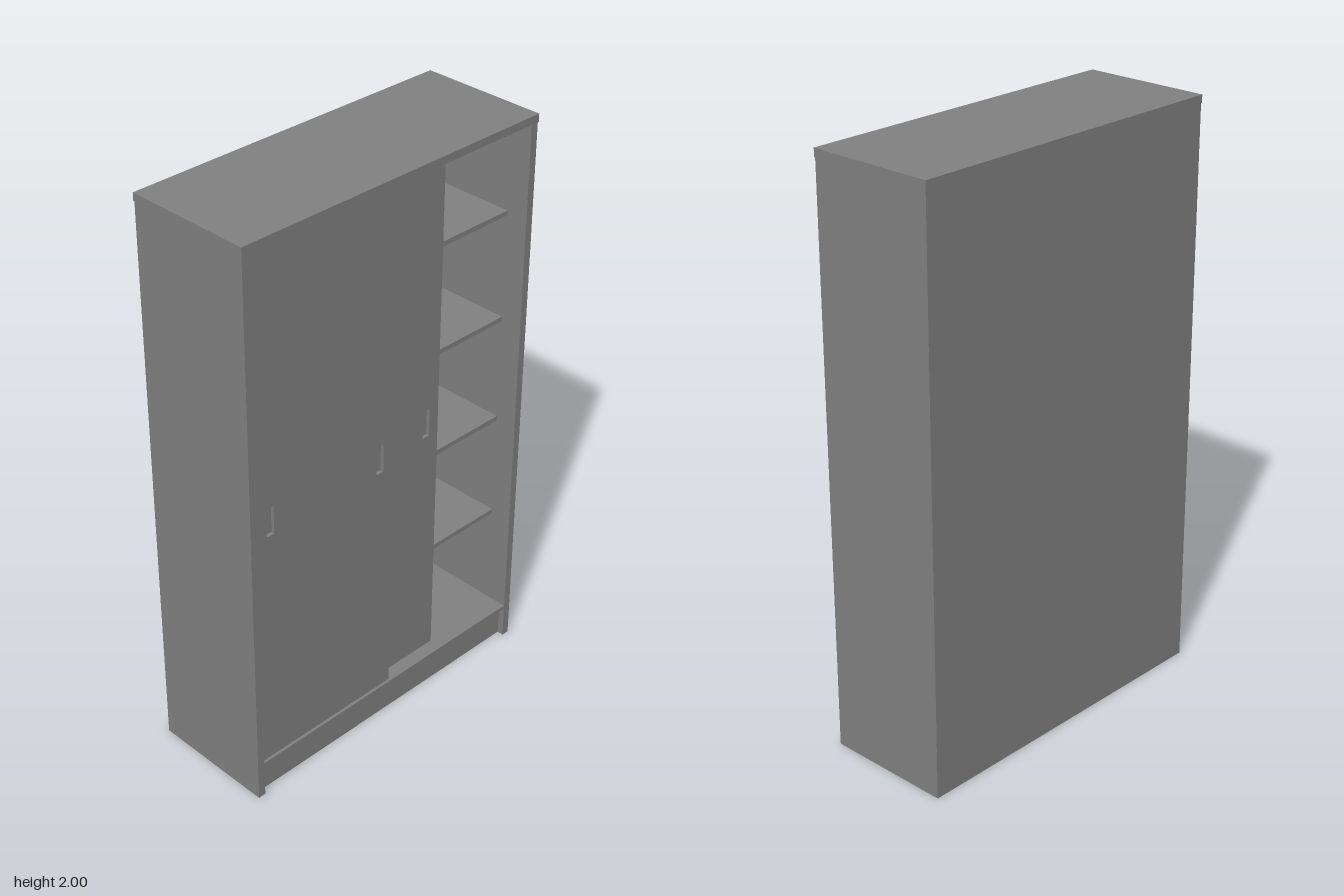
import * as THREE from 'three';

const material = new THREE.MeshStandardMaterial({ color: 0x808080, flatShading: true });

// Box given by its min and max along each axis
function panel(name, [x0, x1], [y0, y1], [z0, z1]) {
  const geometry = new THREE.BoxGeometry(x1 - x0, y1 - y0, z1 - z0);
  geometry.translate((x0 + x1) / 2, (y0 + y1) / 2, (z0 + z1) / 2);
  const mesh = new THREE.Mesh(geometry, material);
  mesh.name = name;
  return mesh;
}

function rectangle(path, x0, x1, y0, y1) {
  path.moveTo(x0, y0);
  path.lineTo(x1, y0);
  path.lineTo(x1, y1);
  path.lineTo(x0, y1);
  path.closePath();
  return path;
}

// Outer size of the top, the slightly smaller carcass below it, and its inside
const TOP_X = 0.225, TOP_Z = 0.6, TOP_Y = 1.973;
const SIDE_X = 0.223, SIDE_Z = 0.598, INNER = 0.571;

// Sliding door: a face sheet pierced by two finger pulls, backed by a solid sheet
function slidingDoor(name, frontX, zCentre) {
  const door = new THREE.Group();
  door.name = name;
  const half = 0.2835, y0 = 0.135, y1 = 1.97, recess = 0.012, thickness = 0.024;

  const shape = rectangle(new THREE.Shape(), -half, half, y0, y1);
  for (const side of [-1, 1]) {
    const c = side * (half - 0.054);
    shape.holes.push(rectangle(new THREE.Path(), c - 0.015, c + 0.015, 1.0, 1.102));
  }
  const geometry = new THREE.ExtrudeGeometry(shape, { depth: recess, bevelEnabled: false });
  geometry.rotateY(Math.PI / 2);
  geometry.translate(frontX - recess, 0, 0);
  const face = new THREE.Mesh(geometry, material);
  face.name = 'doorFaceWithPulls';

  door.add(face, panel('doorBacking', [frontX - thickness, frontX - recess], [y0, y1], [-half, half]));
  door.position.z = zCentre;
  return door;
}

export function createModel() {
  const cabinet = new THREE.Group();
  cabinet.name = 'slidingDoorCabinet';
  const back = -SIDE_X + 0.012;

  // Carcass, with the top overhanging by a hair
  cabinet.add(
    panel('topPanel', [-TOP_X, TOP_X], [TOP_Y, 2], [-TOP_Z, TOP_Z]),
    panel('leftSide', [-SIDE_X, SIDE_X], [0, TOP_Y], [-SIDE_Z, -INNER]),
    panel('rightSide', [-SIDE_X, SIDE_X], [0, TOP_Y], [INNER, SIDE_Z]),
    panel('backPanel', [-SIDE_X, back], [0, TOP_Y], [-INNER, INNER]),
    panel('bottomPanel', [back, 0.221], [0.113, 0.13], [-INNER, INNER]),
    panel('plinth', [0.18, 0.2], [0, 0.113], [-INNER, INNER])
  );

  // Shelves, set back behind the door tracks
  for (let i = 0; i < 4; i++) {
    const y = 0.493 + i * 0.382;
    cabinet.add(panel('shelf' + (i + 1), [back, 0.145], [y, y + 0.017], [-INNER, INNER]));
  }

  // Two doors on parallel tracks, the inner one partly slid open
  cabinet.add(
    slidingDoor('outerDoor', 0.215, 0.2835),
    slidingDoor('innerDoor', 0.176, 0.038)
  );
  return cabinet;
}
